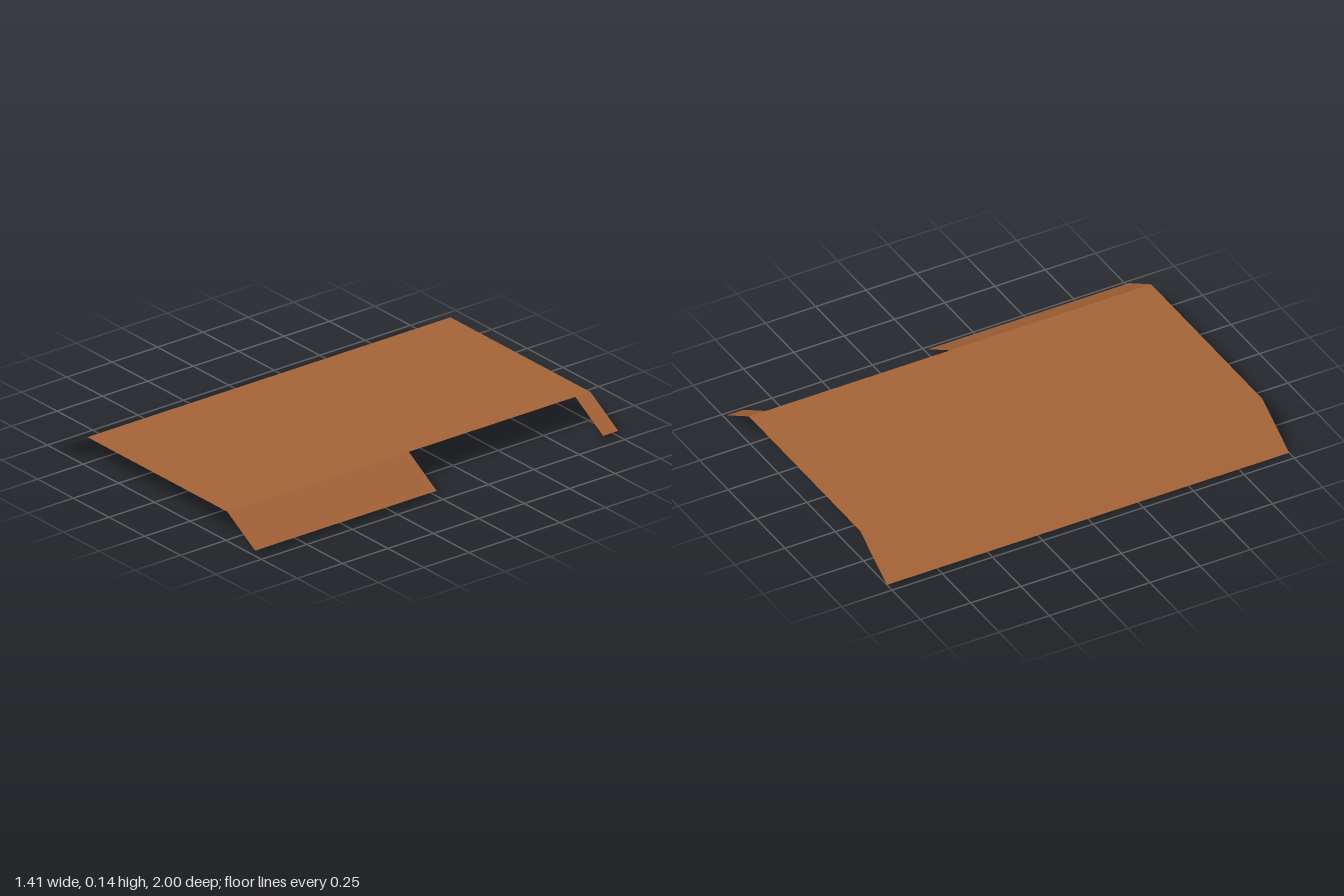
import * as THREE from 'three';

export function createModel() {
  const group = new THREE.Group();
  group.name = 'foldedRoof';
  const brown = new THREE.MeshStandardMaterial({ color: 0xa56337, side: THREE.DoubleSide });
  brown.name = 'brown';

  // Flat sheet spanning (x0, y0) to (x1, y1), running from zBack to zFront
  function panel(name, [x0, y0], [x1, y1], zBack, zFront) {
    const geometry = new THREE.BufferGeometry();
    geometry.setAttribute('position', new THREE.Float32BufferAttribute([
      x0, y0, zFront, x1, y1, zFront, x1, y1, zBack, x0, y0, zBack,
    ], 3));
    geometry.setIndex([0, 1, 2, 0, 2, 3]);
    geometry.computeVertexNormals();
    const mesh = new THREE.Mesh(geometry, brown);
    mesh.name = name;
    group.add(mesh);
  }

  // Cross-section of the folded sheet
  const rightEave = [-0.705, 0];
  const rightFold = [-0.47, 0.14];
  const leftFold = [0.51, 0.14];
  const leftEave = [0.705, 0.025];

  panel('rightSlope', rightEave, rightFold, -1, 1);
  panel('flatTop', rightFold, leftFold, -1, 1);
  // Left slope is interrupted by an opening
  panel('leftSlopeFront', leftFold, leftEave, 0, 1);
  panel('leftSlopeBack', leftFold, leftEave, -1, -0.917);

  return group;
}
